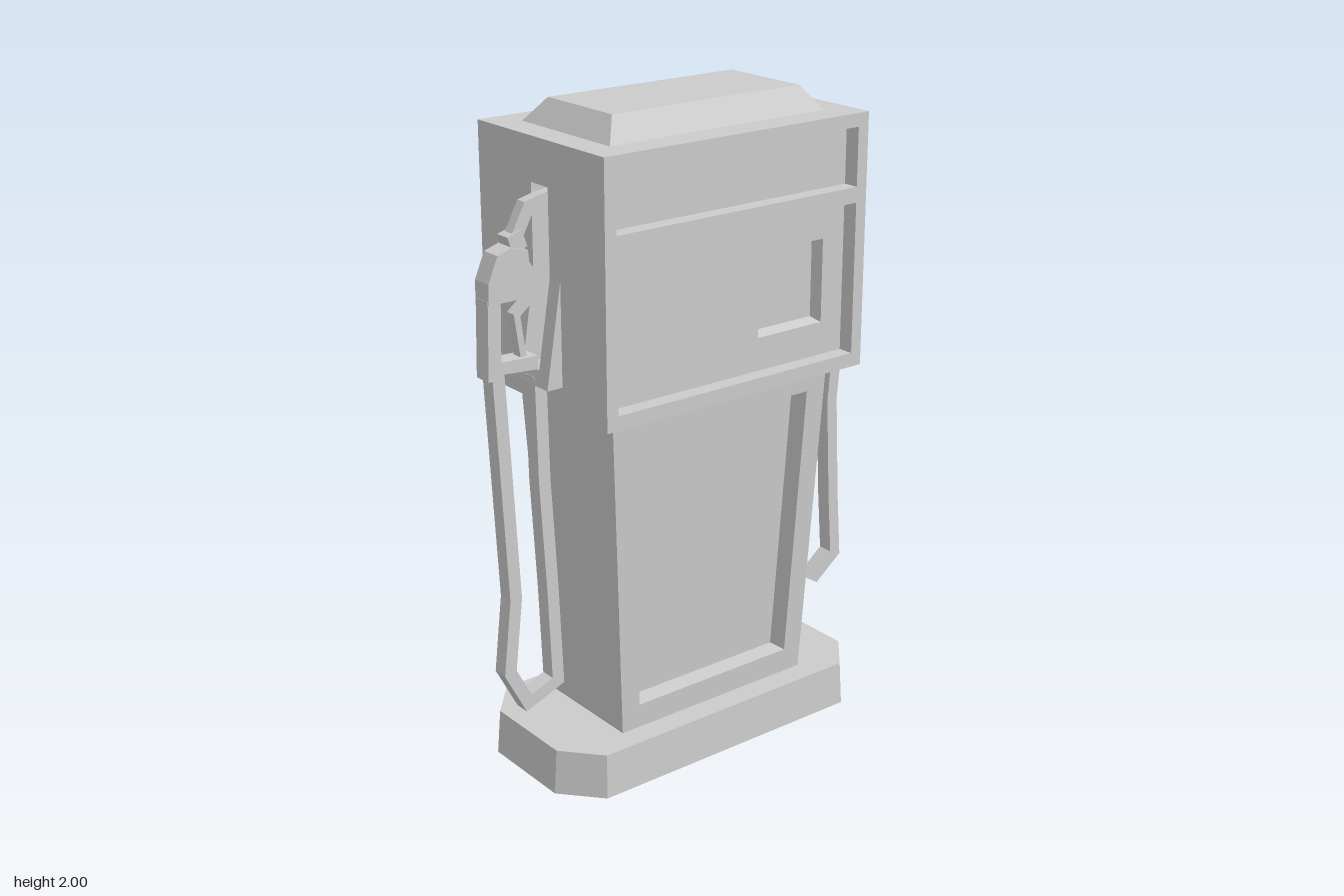
import * as THREE from 'three';

const material = new THREE.MeshStandardMaterial({ color: 0xcccccc, flatShading: true });

function part(name, geometry, parent) {
  const mesh = new THREE.Mesh(geometry, material);
  mesh.name = name;
  parent.add(mesh);
  return mesh;
}

// Skin between loops of [x, y, z], counter-clockwise seen from +z
function loft(loops, capStart = true) {
  const pos = [];
  const tri = (a, b, c) => pos.push(...a, ...b, ...c);
  const n = loops[0].length;
  for (let k = 0; k + 1 < loops.length; k++) {
    const a = loops[k], b = loops[k + 1];
    for (let i = 0; i < n; i++) {
      const j = (i + 1) % n;
      tri(a[i], a[j], b[j]);
      tri(a[i], b[j], b[i]);
    }
  }
  const first = loops[0], last = loops[loops.length - 1];
  for (let i = 1; i + 1 < n; i++) {
    if (capStart) tri(first[0], first[i + 1], first[i]);
    tri(last[0], last[i], last[i + 1]);
  }
  const g = new THREE.BufferGeometry();
  g.setAttribute('position', new THREE.Float32BufferAttribute(pos, 3));
  g.computeVertexNormals();
  return g;
}

const rect = (x0, y0, x1, y1, z = 0) => [[x1, y0, z], [x1, y1, z], [x0, y1, z], [x0, y0, z]];
const toShape = (pts) => new THREE.Shape(pts.map((p) => new THREE.Vector2(p[0], p[1])));

function extrude(pts, depth, holes = []) {
  const shape = toShape(pts);
  shape.holes = holes.map(toShape);
  return new THREE.ExtrudeGeometry(shape, { depth, bevelEnabled: false });
}
const centred = (pts, depth) => extrude(pts, depth).translate(0, 0, -depth / 2);

// Mitred band of constant width along a path in the xy plane
function band(path, width, depth) {
  const pts = path.map((p) => new THREE.Vector2(...p));
  const left = [], right = [];
  pts.forEach((p, i) => {
    const d0 = pts[Math.max(i, 1)].clone().sub(pts[Math.max(i, 1) - 1]).normalize();
    const k = Math.min(i, pts.length - 2);
    const d1 = pts[k + 1].clone().sub(pts[k]).normalize();
    const m = new THREE.Vector2(-d0.y - d1.y, d0.x + d1.x).normalize();
    const h = width / 2 / Math.max(0.5, m.dot(new THREE.Vector2(-d0.y, d0.x)));
    left.push([p.x + m.x * h, p.y + m.y * h]);
    right.unshift([p.x - m.x * h, p.y - m.y * h]);
  });
  return centred([...left, ...right], depth);
}

// Head front: frame, sunken panels and the window recess
function headFace() {
  const g = new THREE.Group();
  g.name = 'headFace';
  const upper = rect(-0.433, 1.714, 0.433, 1.89, 0.25);
  const lower = rect(-0.433, 1.206, 0.433, 1.667, 0.25);
  part('headFrame', extrude(rect(-0.471, 1.163, 0.471, 1.93), 0.1, [upper, lower]).translate(0, 0, 0.2), g);
  part('signPanel', loft([upper], false), g);
  part('displayPanel', loft([
    lower,
    rect(0.108, 1.307, 0.352, 1.562, 0.25),
    rect(0.12, 1.319, 0.34, 1.55, 0.215),
  ], false), g);
  return g;
}

// Slotted side wall with holster, nozzle and hose, on the +x side
function sideUnit(hosePath) {
  const g = new THREE.Group();
  const slot = rect(-0.04, 1.285, 0.04, 1.8);
  part('sideWall', extrude(rect(-0.2, 1.163, 0.2, 1.93), 0.06, [slot])
    .rotateY(Math.PI / 2).translate(0.411, 0, 0), g);

  // Holster: two cheeks and a floor
  for (const z of [-0.065, 0.065]) {
    part('holsterCheek', centred([[0.47, 1.238], [0.522, 1.238], [0.471, 1.545]], 0.05).translate(0, 0, z), g);
  }
  part('holsterFloor', centred([[0.47, 1.238], [0.522, 1.238], [0.514, 1.285], [0.47, 1.285]], 0.08), g);

  // Nozzle
  const nozzle = new THREE.Group();
  nozzle.name = 'nozzle';
  part('spout', centred([[0.415, 1.735], [0.474, 1.73], [0.51, 1.725], [0.545, 1.66],
    [0.582, 1.672], [0.532, 1.765], [0.474, 1.779], [0.415, 1.785]], 0.035), nozzle);
  part('collar', band([[0.572, 1.685], [0.556, 1.635]], 0.05, 0.05), nozzle);
  part('nozzleBody', centred([[0.497, 1.5], [0.668, 1.5], [0.667, 1.56], [0.635, 1.635],
    [0.588, 1.65], [0.536, 1.635], [0.532, 1.6], [0.492, 1.545]], 0.066), nozzle);
  part('handle', band([[0.648, 1.51], [0.654, 1.28]], 0.042, 0.06), nozzle);
  part('triggerGuard', centred([[0.512, 1.285], [0.64, 1.295], [0.64, 1.33], [0.51, 1.325]], 0.06), nozzle);
  part('trigger', band([[0.505, 1.5], [0.567, 1.45], [0.548, 1.315]], 0.02, 0.034), nozzle);
  g.add(nozzle);

  part('hose', band(hosePath, 0.04, 0.05), g);
  return g;
}

export function createModel() {
  const model = new THREE.Group();
  model.name = 'fuelPump';

  // Chamfered plinth
  const octagon = (x, y, cx, cy, z) => [[x, -cy, z], [x, cy, z], [cx, y, z], [-cx, y, z],
    [-x, cy, z], [-x, -cy, z], [-cx, -y, z], [cx, -y, z]];
  part('plinth', loft([octagon(0.574, 0.272, 0.468, 0.153, 0), octagon(0.563, 0.265, 0.463, 0.15, 0.14)])
    .rotateX(-Math.PI / 2), model);

  // Tapered pedestal with a sunken panel front and back
  const slopedQuad = (xb, yb, xt, yt, side, sink) => {
    const z = (y) => side * (0.19 + 0.037 * (y - 0.14) - sink);
    return [[xb, yb, z(yb)], [xt, yt, z(yt)], [-xt, yt, z(yt)], [-xb, yb, z(yb)]];
  };
  const faceLoops = (side) => [
    slopedQuad(0.349, 0.14, 0.4, 1.163, side, 0),
    slopedQuad(0.287, 0.217, 0.327, 1.087, side, 0),
    slopedQuad(0.276, 0.223, 0.315, 1.08, side, 0.055),
  ];
  part('pedestal', loft([...faceLoops(-1).reverse(), ...faceLoops(1)]), model);

  // Head
  part('headCore', new THREE.BoxGeometry(0.822, 0.767, 0.4).translate(0, 1.5465, 0), model);
  const back = headFace();
  back.rotation.y = Math.PI;
  model.add(headFace(), back);
  part('roofCap', loft([rect(-0.383, -0.207, 0.383, 0.207, 1.93), rect(-0.333, -0.15, 0.333, 0.15, 2)])
    .rotateX(-Math.PI / 2), model);

  // Left and right sides, each with its own hose droop
  const left = sideUnit([[0.653, 1.3], [0.619, 0.937], [0.637, 0.598], [0.653, 0.39],
    [0.574, 0.328], [0.489, 0.381], [0.487, 0.571], [0.51, 0.942], [0.5, 1.26]]);
  left.name = 'leftSide';
  const right = sideUnit([[0.64, 1.3], [0.605, 0.598], [0.632, 0.365], [0.571, 0.247],
    [0.464, 0.288], [0.476, 0.598], [0.495, 0.942], [0.5, 1.26]]);
  right.name = 'rightSide';
  right.rotation.y = Math.PI;
  model.add(left, right);

  model.children.forEach((c) => { c.position.x -= 0.005; });
  return model;
}
